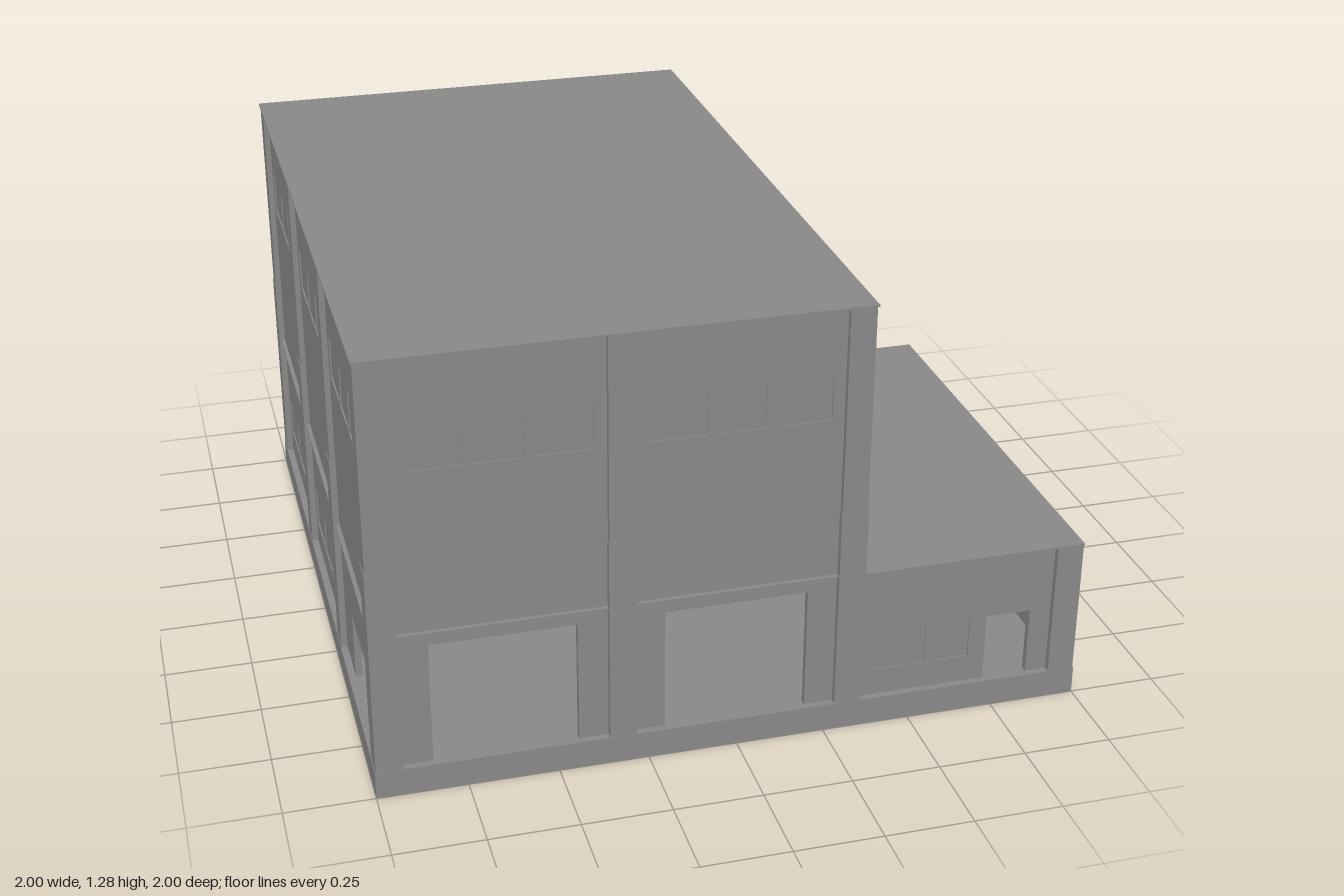
import * as THREE from 'three';

const COL = 0.08;      // column width
const BAY = 0.56;      // clear width between columns
const BASE = 0.08, FLOOR = 0.485, ROOF = 1.28, SLAB = 0.006;
const RECESS = 0.02, WALL = 0.02;

export function createModel() {
  const model = new THREE.Group();
  model.name = 'building';
  const mat = new THREE.MeshStandardMaterial({ color: 0x888888, flatShading: true });

  // box given by its min and max corners
  function box(name, x0, x1, y0, y1, z0, z1, parent = model) {
    const m = new THREE.Mesh(new THREE.BoxGeometry(x1 - x0, y1 - y0, z1 - z0), mat);
    m.position.set((x0 + x1) / 2, (y0 + y1) / 2, (z0 + z1) / 2);
    m.name = name;
    parent.add(m);
  }

  function rect(target, x0, x1, y0, y1) {
    target.moveTo(x0, y0);
    target.lineTo(x1, y0);
    target.lineTo(x1, y1);
    target.lineTo(x0, y1);
    target.closePath();
    return target;
  }

  // L-shaped footprint, pulled in by d; drawn as (x, -z)
  const footprint = (d) => [
    [-1 + d, -1 + d], [1 - d, -1 + d], [1 - d, 0.36 - d],
    [0.36 - d, 0.36 - d], [0.36 - d, 1 - d], [-1 + d, 1 - d],
  ].map(([x, y]) => new THREE.Vector2(x, y));

  function plate(name, shape, y0, y1) {
    const m = new THREE.Mesh(
      new THREE.ExtrudeGeometry(shape, { depth: y1 - y0, bevelEnabled: false }), mat);
    m.rotation.x = -Math.PI / 2;
    m.position.y = y0;
    m.name = name;
    model.add(m);
  }

  // one wall bay: recessed panel with openings; local z = 0 is the column face
  function bay(name, cx, cz, turn, y0, y1, openings) {
    const g = new THREE.Group();
    g.name = name;
    g.position.set(cx, 0, cz);
    g.rotation.y = turn;
    const half = BAY / 2 + 0.01;
    const shape = rect(new THREE.Shape(), -half, half, y0 - 0.004, y1);
    for (const o of openings) shape.holes.push(rect(new THREE.Path(), o.x0, o.x1, o.y0, o.y1));
    const panel = new THREE.Mesh(
      new THREE.ExtrudeGeometry(shape, { depth: WALL, bevelEnabled: false }), mat);
    panel.position.z = -RECESS - WALL;
    panel.name = 'wallPanel';
    g.add(panel);
    // closed windows: an almost flush pane and mullions
    for (const o of openings) {
      if (!o.mullions) continue;
      box('windowPane', o.x0, o.x1, o.y0, o.y1, -RECESS - WALL, -RECESS - 0.004, g);
      for (const x of o.mullions) {
        box('mullion', x - 0.01, x + 0.01, o.y0, o.y1, -RECESS - 0.005, -RECESS - 0.001, g);
      }
    }
    model.add(g);
  }

  const windowAt = (top) => ({ x0: -0.25, x1: 0.25, y0: top - 0.325, y1: top - 0.2, mullions: [-0.08, 0.08] });
  const door = (x0, x1, y1) => ({ x0, x1, y0: BASE, y1 });
  const lowWindow = [windowAt(FLOOR)], highWindow = [windowAt(ROOF)];
  const sideDoor = [door(-0.12, 0.12, 0.28)];
  const gate = [door(-0.2, 0.2, 0.44)];
  const low = (name, x, z, turn, openings) => bay(name, x, z, turn, BASE, FLOOR - SLAB, openings);
  const high = (name, x, z, turn) => bay(name, x, z, turn, FLOOR, ROOF - SLAB, highWindow);

  // hollow plinth skirt, open below, with the ground floor on top
  const skirt = new THREE.Shape(footprint(0));
  skirt.holes.push(new THREE.Path(footprint(0.005)));
  plate('plinthSkirt', skirt, 0, BASE - SLAB);
  plate('groundFloor', new THREE.Shape(footprint(0)), BASE - SLAB, BASE);

  // thin floor and roof slabs
  box('upperFloorSlab', -0.992, 0.36, FLOOR - SLAB, FLOOR, -0.992, 0.992);
  box('annexRoof', 0.36, 1, FLOOR - SLAB, FLOOR, -0.36, 1);
  box('towerRoof', -1, 0.36, ROOF - SLAB, ROOF, -1, 1);

  // columns: lower lift slightly stouter than the upper one
  const rows = [-0.96, -0.32, 0.32, 0.96];
  const column = (name, x, z, y0, y1, h) => box(name, x - h, x + h, y0, y1, z - h, z + h);
  const lowerHalf = COL / 2 - 0.002, upperHalf = COL / 2 - 0.004;
  for (const x of rows.slice(0, 3)) {
    for (const z of rows) {
      if (x === -0.32 && Math.abs(z) < 0.5) continue;
      column('lowerColumn', x, z, BASE, 0.68, lowerHalf);
      column('upperColumn', x, z, 0.68, ROOF - SLAB, upperHalf);
    }
  }
  for (const z of rows.slice(1)) column('annexColumn', 0.96, z, BASE, FLOOR - SLAB, lowerHalf);

  // tower front and back
  for (const x of [-0.64, 0]) {
    low('frontGateBay', x, 1, 0, gate);
    high('frontUpperBay', x, 1, 0);
    low('backLowerBay', x, -1, Math.PI, lowWindow);
    high('backUpperBay', x, -1, Math.PI);
  }
  // tower sides
  for (const z of [-0.64, 0, 0.64]) {
    low('sideLowerBay', -1, z, -Math.PI / 2, z > 0.5 ? sideDoor : lowWindow);
    high('sideUpperBay', -1, z, -Math.PI / 2);
    high('annexSideUpperBay', 0.36, z, Math.PI / 2);
  }
  low('rearDoorBay', 0.36, -0.64, Math.PI / 2, sideDoor);

  // annex walls
  low('annexFrontBay', 0.64, 1, 0, [
    { x0: -0.25, x1: 0.04, y0: 0.16, y1: 0.285, mullions: [-0.08] },
    door(0.09, 0.22, 0.28),
  ]);
  low('annexBackBay', 0.64, -0.36, Math.PI, lowWindow);
  for (const z of [0, 0.64]) low('annexSideBay', 1, z, Math.PI / 2, lowWindow);

  return model;
}
